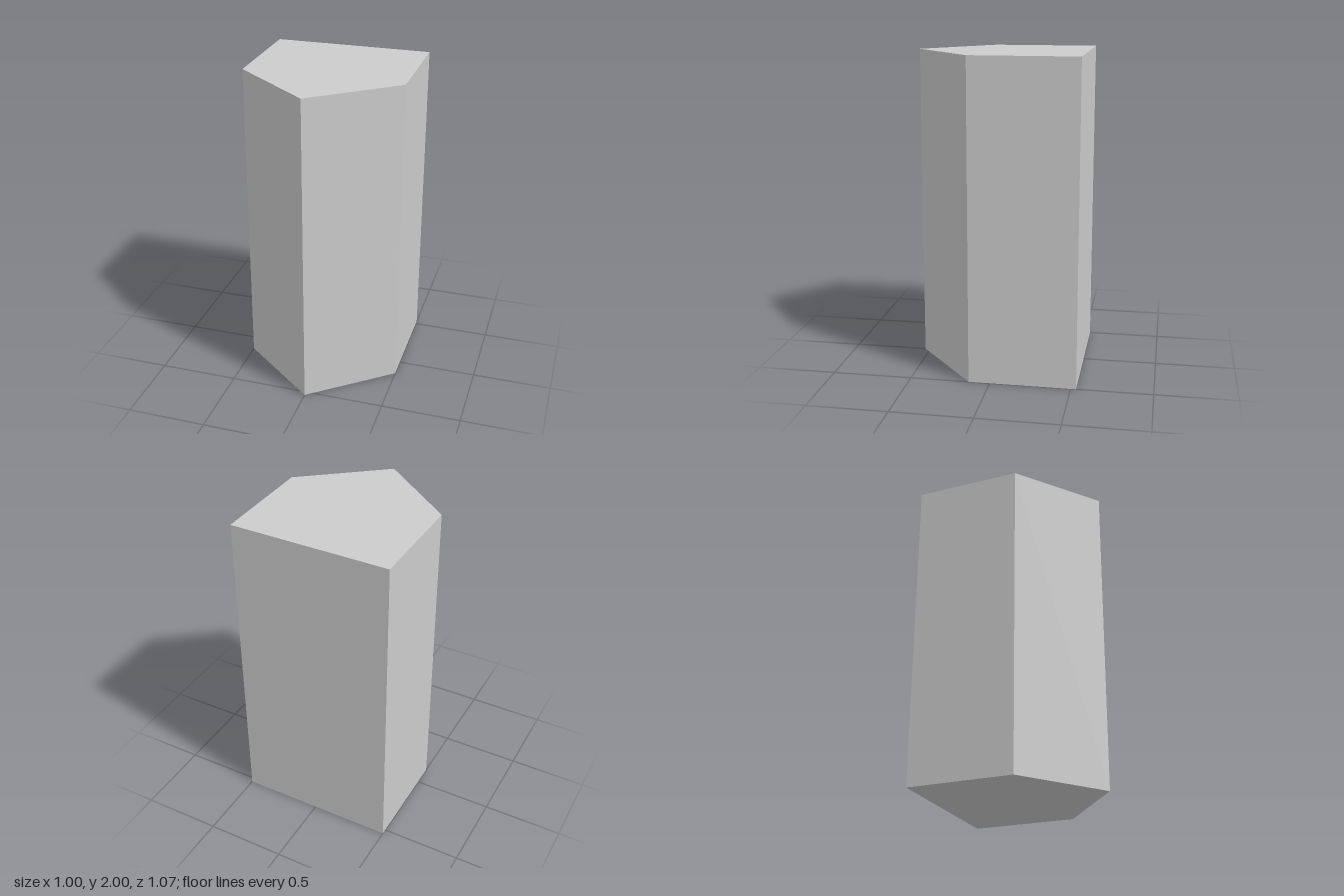
import * as THREE from 'three';

export function createModel() {
  const group = new THREE.Group();
  group.name = 'pentagonalPrism';

  // Floor plan: square back, pointed front (shape y is -z)
  const plan = new THREE.Shape([
    [-0.5, 0.533], [-0.5, -0.133], [0, -0.533], [0.5, -0.133], [0.5, 0.533],
  ].map(([x, y]) => new THREE.Vector2(x, y)));

  // Extrude the plan, then stand it upright on the ground
  const geometry = new THREE.ExtrudeGeometry(plan, { depth: 2, bevelEnabled: false });
  geometry.rotateX(-Math.PI / 2);

  const column = new THREE.Mesh(
    geometry,
    new THREE.MeshStandardMaterial({ color: 0xcccccc, flatShading: true }),
  );
  column.name = 'column';
  group.add(column);
  return group;
}
